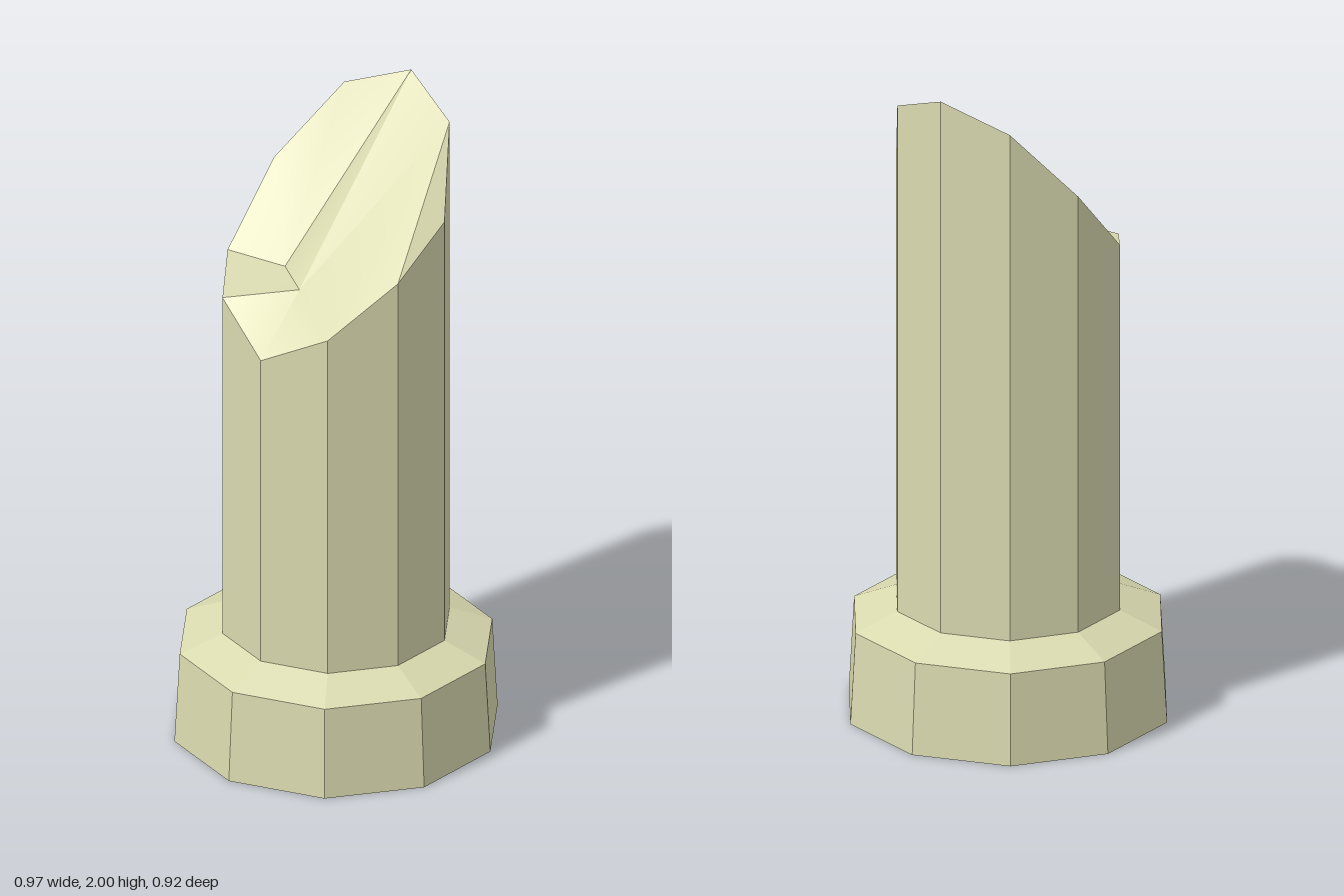
import * as THREE from 'three';
import { toCreasedNormals } from 'three/addons/utils/BufferGeometryUtils.js';

const SIDES = 10;

// Ring of ten points; height is one number or one value per corner
function ring(radius, height) {
  return Array.from({ length: SIDES }, (_, k) => {
    const a = (k / SIDES) * Math.PI * 2;
    const y = Array.isArray(height) ? height[k] : height;
    return [radius * Math.cos(a), y, radius * Math.sin(a)];
  });
}

function build(points, index) {
  const g = new THREE.BufferGeometry();
  g.setAttribute('position', new THREE.Float32BufferAttribute(points.flat(), 3));
  g.setIndex(index);
  return g;
}

// Open band of walls joining each ring to the next
function band(...rings) {
  const index = [];
  for (let r = 0; r < rings.length - 1; r++) {
    for (let k = 0; k < SIDES; k++) {
      const a = r * SIDES + k, b = r * SIDES + ((k + 1) % SIDES);
      index.push(a, a + SIDES, b, b, a + SIDES, b + SIDES);
    }
  }
  return build(rings.flat(), index);
}

export function createModel() {
  const group = new THREE.Group();
  group.name = 'cutPost';
  const color = 0xdadab0;
  const flat = new THREE.MeshStandardMaterial({ color, flatShading: true, side: THREE.DoubleSide });
  const smooth = new THREE.MeshStandardMaterial({ color, side: THREE.DoubleSide });

  const add = (name, geometry, material) => {
    const mesh = new THREE.Mesh(geometry, material);
    mesh.name = name;
    group.add(mesh);
  };

  // Hollow collar: tapered wall and sloping shoulder, open underneath
  const neck = ring(0.34, 0.335);
  add('baseCollar', band(ring(0.484, 0), ring(0.468, 0.283), neck), flat);

  // Shaft with a slanted, uneven upper rim
  const rim = ring(0.34, [1.70, 1.58, 1.42, 1.315, 1.43, 1.48, 1.70, 1.92, 2.0, 1.92]);
  add('shaft', band(neck, rim), flat);

  // Slanted cut face: a hollow (10) behind a low lip (11)
  const hollow = [-0.16, 1.46, 0], lip = [-0.05, 1.48, 0.16];
  const faces = [
    [0, 1, 9], [1, 2, 9], [2, 3, 11], [3, 4, 11], [4, 10, 11], [4, 5, 10],
    [5, 6, 10], [6, 7, 10], [7, 8, 10], [8, 11, 10], [8, 9, 11], [9, 2, 11],
  ];
  const cut = build([...rim, hollow, lip], faces.flatMap(([a, b, c]) => [a, c, b]));
  add('cutFace', toCreasedNormals(cut, 0.5), smooth);

  return group;
}
